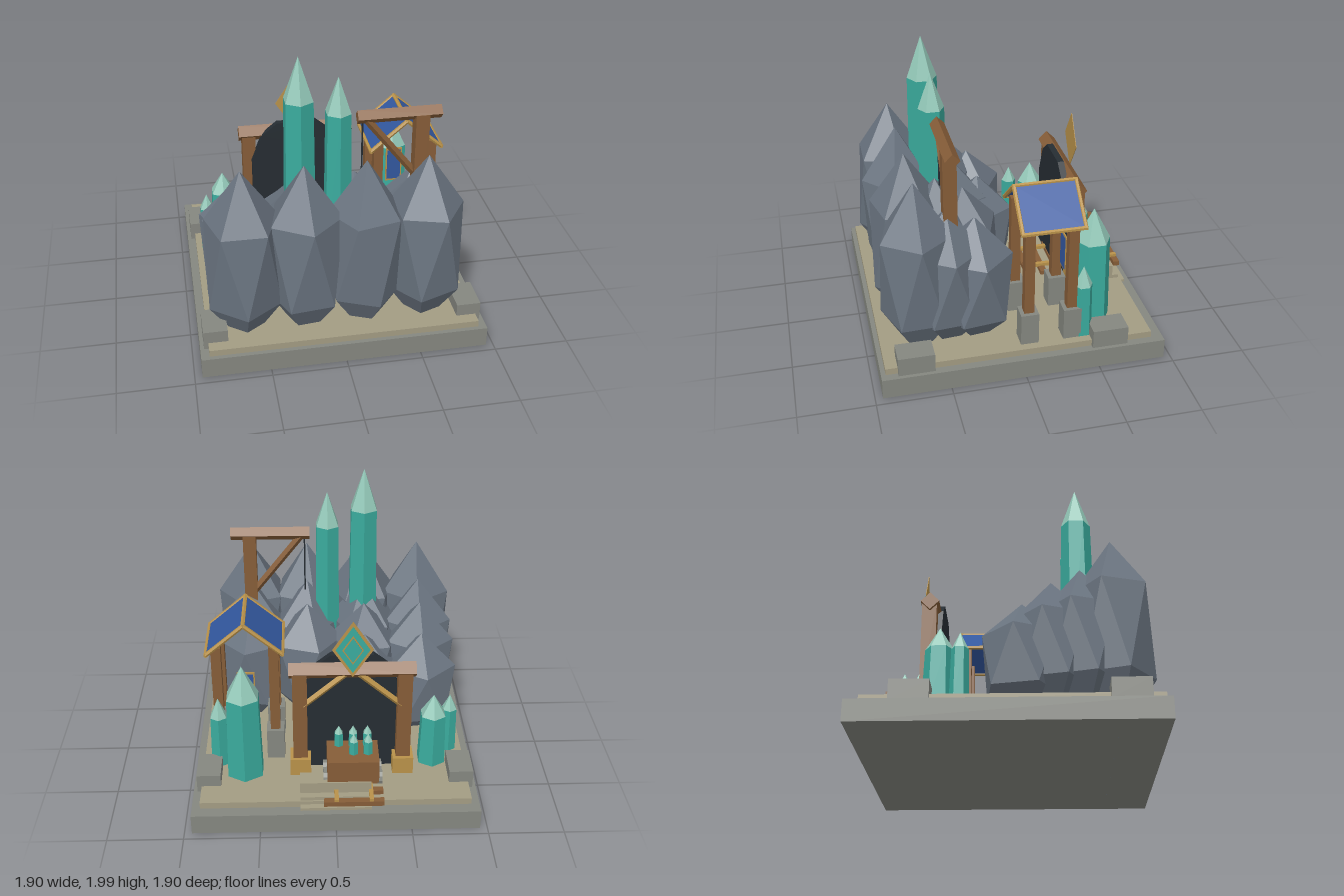
import * as THREE from 'three';

const mat = (name, color, extra = {}) =>
  Object.assign(new THREE.MeshStandardMaterial({ color, flatShading: true, ...extra }), { name });

export function createModel() {
  const model = new THREE.Group();
  model.name = 'crystalMine';
  const stone = mat('stone', 0x858780), sand = mat('sand', 0xa39c83), rockM = mat('rock', 0x6a7480);
  const wood = mat('wood', 0x865d38), gold = mat('gold', 0xb9924a), teal = mat('crystal', 0x3aab9d);
  const pale = mat('crystalTip', 0x93c8b8), dark = mat('dark', 0x262d33, { side: THREE.DoubleSide });
  const blue = mat('blue', 0x33589f, { side: THREE.DoubleSide });

  const add = (parent, name, geo, m, x = 0, y = 0, z = 0) => {
    const mesh = new THREE.Mesh(geo, m);
    mesh.name = name;
    mesh.position.set(x, y, z);
    parent.add(mesh);
    return mesh;
  };
  // Box given by its limits on each axis
  const box = (parent, name, m, [x0, x1], [y0, y1], [z0, z1]) =>
    add(parent, name, new THREE.BoxGeometry(x1 - x0, y1 - y0, z1 - z0), m, (x0 + x1) / 2, (y0 + y1) / 2, (z0 + z1) / 2);
  // Round or polygonal bar between two points
  const bar = (parent, name, m, a, b, r, sides = 6) => {
    const p = new THREE.Vector3(...a), q = new THREE.Vector3(...b), d = q.clone().sub(p);
    const mesh = add(parent, name, new THREE.CylinderGeometry(r, r, d.length(), sides), m);
    mesh.position.copy(p).add(q).multiplyScalar(0.5);
    mesh.quaternion.setFromUnitVectors(new THREE.Vector3(0, 1, 0), d.normalize());
    return mesh;
  };
  const group = (name, parent = model) => {
    const g = new THREE.Group();
    g.name = name;
    parent.add(g);
    return g;
  };

  // Base slab, ground, corner blocks and steps
  box(model, 'baseSlab', stone, [-0.95, 0.95], [0.02, 0.16], [-0.95, 0.95]);
  box(model, 'ground', sand, [-0.895, 0.895], [0.16, 0.205], [-0.87, 0.92]);
  for (const x of [-0.845, 0.845])
    for (const z of [-0.575, 0.72])
      box(model, 'cornerBlock', stone, [x - 0.08, x + 0.08], [0.16, 0.29], [z - 0.12, z + 0.12]);
  [[0.18, -0.91], [0.23, -0.86], [0.31, -0.815]].forEach(([top, z]) =>
    box(model, 'step', sand, [-0.235, 0.235], [0.15, top], [z, -0.70]));

  // Rocks: stretched icosahedra standing on a corner, in rows
  const rocks = group('rocks');
  const rockGeo = new THREE.IcosahedronGeometry(1, 0).rotateZ(-Math.atan(2 / (1 + Math.sqrt(5))));
  const rows = [
    { z: 0.65, cy: 0.685, h: 0.67, xs: [-0.63, -0.23, 0.17, 0.57] },
    { z: 0.45, cy: 0.61, h: 0.54, xs: [-0.63, -0.23, 0.17, 0.57] },
    { z: 0.265, cy: 0.57, h: 0.49, xs: [-0.63, -0.23, 0.17, 0.57] },
    { z: 0.08, cy: 0.49, h: 0.42, xs: [-0.63, -0.23] },
  ];
  rows.forEach(({ z, cy, h, xs }, r) => xs.forEach((x, c) => {
    const rock = add(rocks, 'rock', rockGeo, rockM, x, cy, z);
    rock.scale.set(0.278, h, 0.278);
    rock.rotation.y = 0.3 + r * 1.3 + c * 0.75;
  }));

  // Crystals: six-sided shaft with a paler tip
  const crystal = (parent, x, z, r, y0, shoulder, top) => {
    const g = group('crystal', parent);
    g.position.set(x, 0, z);
    add(g, 'shaft', new THREE.CylinderGeometry(r * 0.88, r, shoulder - y0, 6), teal, 0, (y0 + shoulder) / 2, 0);
    add(g, 'tip', new THREE.ConeGeometry(r * 0.88, top - shoulder, 6), pale, 0, (top + shoulder) / 2, 0);
  };
  const crystals = group('crystals');
  crystal(crystals, -0.23, 0.45, 0.115, 0.6, 1.71, 2.0);
  crystal(crystals, 0.025, 0.435, 0.1, 0.6, 1.595, 1.84);
  crystal(crystals, 0.605, -0.525, 0.135, 0.2, 0.81, 1.04);
  crystal(crystals, 0.78, -0.415, 0.07, 0.2, 0.58, 0.72);
  crystal(crystals, -0.67, -0.425, 0.103, 0.2, 0.58, 0.73);
  crystal(crystals, -0.8, -0.29, 0.06, 0.2, 0.53, 0.64);

  // Hoist on the rocks
  const hoist = group('hoist');
  box(hoist, 'post', wood, [0.525, 0.615], [0.3, 1.54], [0.38, 0.47]);
  bar(hoist, 'beam', wood, [0.15, 1.54, 0.42], [0.7, 1.54, 0.42], 0.048, 4);
  bar(hoist, 'brace', wood, [0.21, 1.52, 0.42], [0.57, 1.06, 0.42], 0.026, 4);
  bar(hoist, 'rope', dark, [0.185, 1.52, 0.42], [0.185, 1.06, 0.42], 0.006);

  // Mine entrance: dark arch, posts, beam and braces
  const portal = group('portal');
  const arch = new THREE.Shape([[-0.33, 0.2], [0.33, 0.2], [0.33, 0.8], [0.25, 1.0], [0.14, 1.09],
    [-0.14, 1.09], [-0.25, 1.0], [-0.33, 0.8]].map(p => new THREE.Vector2(...p)));
  add(portal, 'tunnel', new THREE.ExtrudeGeometry(arch, { depth: 0.045, bevelEnabled: false }), dark, -0.115, 0, -0.485);
  for (const s of [-1, 1]) {
    const x = -0.115 + s * 0.345;
    box(portal, 'postBase', gold, [x - 0.07, x + 0.07], [0.2, 0.33], [-0.59, -0.45]);
    box(portal, 'post', wood, [x - 0.048, x + 0.048], [0.33, 1.0], [-0.565, -0.47]);
    bar(portal, 'brace', gold, [x - s * 0.02, 0.74, -0.545], [-0.115 + s * 0.05, 0.98, -0.545], 0.022, 4);
  }
  bar(portal, 'beam', wood, [-0.53, 0.995, -0.513], [0.3, 0.995, -0.513], 0.06, 4);

  // Diamond sign: stacked thin plates
  [[0.205, gold], [0.17, teal], [0.105, gold], [0.09, teal]].forEach(([r, m], i) => {
    const plate = add(portal, 'diamondSign', new THREE.CylinderGeometry(r, r, 0.004, 4).rotateX(Math.PI / 2), m,
      -0.115, 1.183, -0.573 - i * 0.0035);
    plate.scale.x = 0.65;
  });

  // Track
  const track = group('track');
  for (let i = 0; i < 7; i++) {
    const z = -0.9 + i * 0.111;
    box(track, 'tie', wood, [-0.315, 0.08], [0.2, 0.235], [z - 0.022, z + 0.022]);
  }
  for (const x of [-0.232, -0.003])
    box(track, 'rail', gold, [x - 0.014, x + 0.014], [0.23, 0.255], [-0.92, -0.22]);

  // Cart with wheels and its load
  const cart = group('cart');
  box(cart, 'cartBody', wood, [-0.285, 0.055], [0.3, 0.465], [-0.805, -0.56]);
  for (const x of [-0.295, 0.065])
    for (const z of [-0.735, -0.62])
      bar(cart, 'wheel', stone, [x - 0.015, 0.295, z], [x + 0.015, 0.295, z], 0.05, 10);
  [[-0.215, -0.695], [-0.12, -0.695], [-0.215, -0.6], [-0.12, -0.6], [-0.025, -0.6]].forEach(([x, z]) =>
    crystal(cart, x, z, 0.034, 0.45, 0.56, 0.615));

  // Pavilion: four posts on stone feet, gable roof with a gold frame
  const pavilion = group('pavilion');
  const zs = [-0.395, 0.012], ridge = [0.59, 1.265], mid = (zs[0] + zs[1]) / 2;
  for (const s of [-1, 1]) {
    const px = 0.59 + s * 0.19, ex = 0.59 + s * 0.25;
    for (const z of [-0.333, -0.045]) {
      box(pavilion, 'postFoot', stone, [px - 0.06, px + 0.06], [0.2, 0.43], [z - 0.06, z + 0.06]);
      box(pavilion, 'post', wood, [px - 0.033, px + 0.033], [0.43, 1.08], [z - 0.033, z + 0.033]);
    }
    const run = Math.hypot(0.25, 0.215);
    const panel = add(pavilion, 'roofPanel', new THREE.BoxGeometry(run, 0.012, zs[1] - zs[0]), blue,
      (ex + ridge[0]) / 2, 1.1575, mid);
    panel.rotation.z = -s * Math.atan2(0.215, 0.25);
    bar(pavilion, 'eaveTrim', gold, [ex, 1.05, zs[0] - 0.01], [ex, 1.05, zs[1] + 0.01], 0.015);
    for (const z of zs)
      bar(pavilion, 'gableTrim', gold, [ex, 1.05, z], [...ridge, z], 0.015);
  }
  bar(pavilion, 'ridgeTrim', gold, [...ridge, zs[0] - 0.01], [...ridge, zs[1] + 0.01], 0.015);

  // Small hanging banner
  box(pavilion, 'bannerFrame', gold, [0.53, 0.65], [0.6, 0.87], [-0.334, -0.326]);
  box(pavilion, 'bannerCloth', blue, [0.54, 0.64], [0.615, 0.855], [-0.337, -0.323]);

  return model;
}
